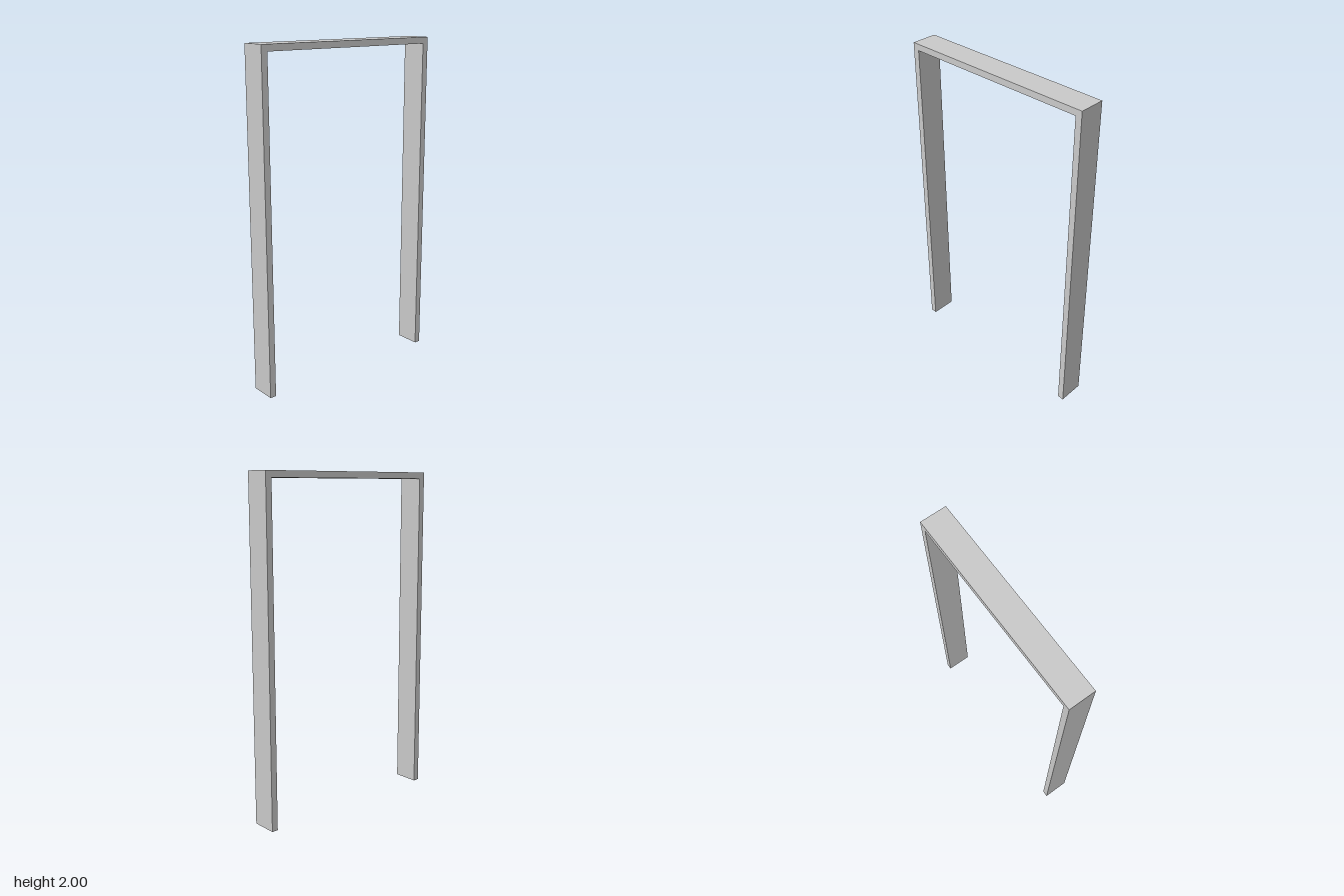
import * as THREE from 'three';

const HALF_WIDTH = 0.605, HEIGHT = 2, DEPTH = 0.155, THICKNESS = 0.038;

export function createModel() {
  const group = new THREE.Group();
  group.name = 'doorway';

  // Door frame: two jambs and a head as one U-shaped outline
  const inner = HALF_WIDTH - THICKNESS;
  const outline = new THREE.Shape();
  outline.moveTo(-HALF_WIDTH, 0);
  outline.lineTo(-inner, 0);
  outline.lineTo(-inner, HEIGHT - THICKNESS);
  outline.lineTo(inner, HEIGHT - THICKNESS);
  outline.lineTo(inner, 0);
  outline.lineTo(HALF_WIDTH, 0);
  outline.lineTo(HALF_WIDTH, HEIGHT);
  outline.lineTo(-HALF_WIDTH, HEIGHT);
  outline.closePath();

  const geometry = new THREE.ExtrudeGeometry(outline, { depth: DEPTH, bevelEnabled: false });
  geometry.translate(0, 0, -DEPTH / 2);

  const frame = new THREE.Mesh(geometry, new THREE.MeshStandardMaterial({ color: 0xcccccc }));
  frame.name = 'doorFrame';
  group.add(frame);
  return group;
}
